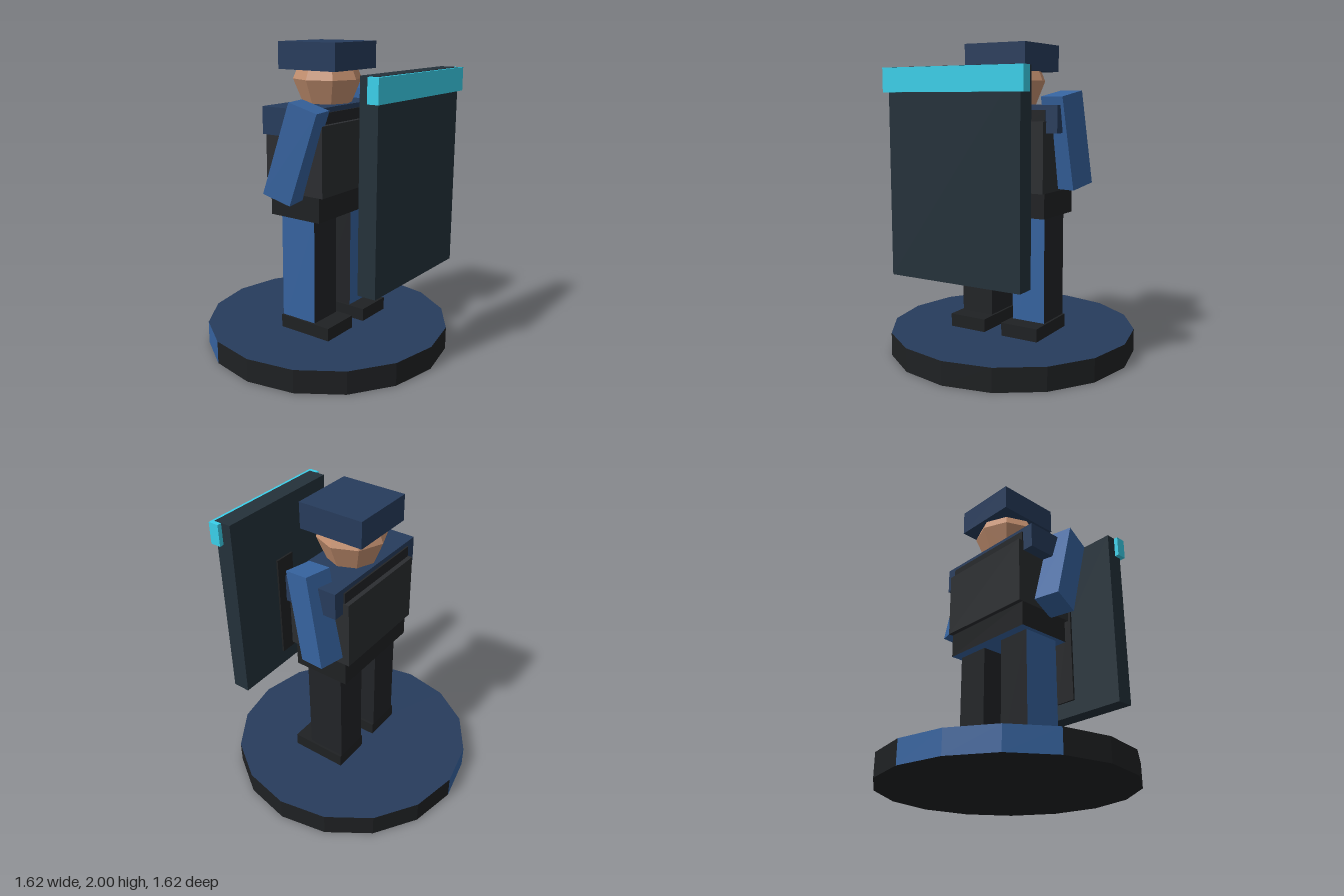
import * as THREE from 'three';

const mat = (color) => {
  const m = new THREE.MeshStandardMaterial({ flatShading: true });
  m.color.set(color);
  return m;
};
const navy = mat(0x273c5c), blue = mat(0x36639f), dark = mat(0x222427), black = mat(0x1f2123);
const grey = mat(0x2b2d30), slate = mat(0x24313a), cyan = mat(0x3ad0ea), skin = mat(0xc49070);

// Box between two corners; painted gives other materials by face index (+x -x +y -y +z -z)
function box(name, material, [x0, y0, z0], [x1, y1, z1], painted) {
  const faces = painted ? Array.from({ length: 6 }, (_, i) => painted[i] ?? material) : material;
  const mesh = new THREE.Mesh(new THREE.BoxGeometry(x1 - x0, y1 - y0, z1 - z0), faces);
  mesh.position.set((x0 + x1) / 2, (y0 + y1) / 2, (z0 + z1) / 2);
  mesh.name = name;
  return mesh;
}

// Arm box tilted forward at the top, then turned about y
function arm(name, position, yaw, tilt) {
  const mesh = new THREE.Mesh(new THREE.BoxGeometry(0.173, 0.59, 0.19), blue);
  mesh.rotation.set(tilt, yaw, 0, 'YXZ');
  mesh.position.set(...position);
  mesh.name = name;
  return mesh;
}

// Sixteen-sided stand: three rim faces at the back are painted blue
function stand() {
  const group = new THREE.Group();
  group.name = 'base';
  const R = 0.81, H = 0.15, step = Math.PI / 8;
  const rim = (name, material, first, count) => {
    const mesh = new THREE.Mesh(
      new THREE.CylinderGeometry(R, R, H, count, 1, true, first * step, count * step), material);
    mesh.position.y = H / 2;
    mesh.name = name;
    group.add(mesh);
  };
  rim('baseRim', black, 11, 13);
  rim('baseRimPainted', blue, 8, 3);
  for (const [name, material, y, turn] of [['baseTop', navy, H, -1], ['baseBottom', black, 0, 1]]) {
    const disc = new THREE.Mesh(new THREE.CircleGeometry(R, 16), material);
    disc.rotation.x = turn * Math.PI / 2;
    disc.position.y = y;
    disc.name = name;
    group.add(disc);
  }
  return group;
}

export function createModel() {
  const model = new THREE.Group();
  model.name = 'shieldBearer';
  model.add(stand());

  // Legs and feet
  for (const [side, s, painted] of [['left', 1, { 4: blue }], ['right', -1, { 1: blue }]]) {
    const x = 0.195 * s;
    model.add(
      box(side + 'Leg', dark, [x - 0.115, 0.15, -0.13], [x + 0.115, 0.92, 0.13], painted),
      box(side + 'Foot', black, [x - 0.13, 0.15, -0.132], [x + 0.13, 0.235, 0.25]));
  }

  // Body
  model.add(
    box('hips', black, [-0.34, 0.92, -0.19], [0.34, 1.08, 0.19], { 3: blue }),
    box('torso', dark, [-0.34, 1.08, -0.19], [0.34, 1.59, 0.19]),
    box('vest', grey, [-0.345, 1.08, -0.22], [0.345, 1.52, 0.22]),
    box('shoulders', navy, [-0.42, 1.45, -0.18], [0.42, 1.62, 0.18]));

  // Arms
  model.add(
    arm('leftArm', [0.39, 1.4, -0.01], -0.227, 0.194),
    arm('rightArm', [-0.42, 1.36, 0.08], 0.2, 0.313));

  // Head and cap
  const head = new THREE.Mesh(new THREE.SphereGeometry(0.22, 8, 4), skin);
  head.position.y = 1.77;
  head.name = 'head';
  model.add(head, box('cap', navy, [-0.22, 1.83, -0.22], [0.22, 2, 0.22]));

  // Shield
  const shield = new THREE.Group();
  shield.name = 'shield';
  shield.add(
    box('shieldPanel', slate, [-0.455, 0.58, 0.56], [0.455, 1.842, 0.68]),
    box('shieldTopBar', cyan, [-0.485, 1.695, 0.628], [0.485, 1.84, 0.7]),
    box('shieldGrip', black, [-0.075, 0.69, 0.547], [0.075, 1.43, 0.57]));
  model.add(shield);
  return model;
}
